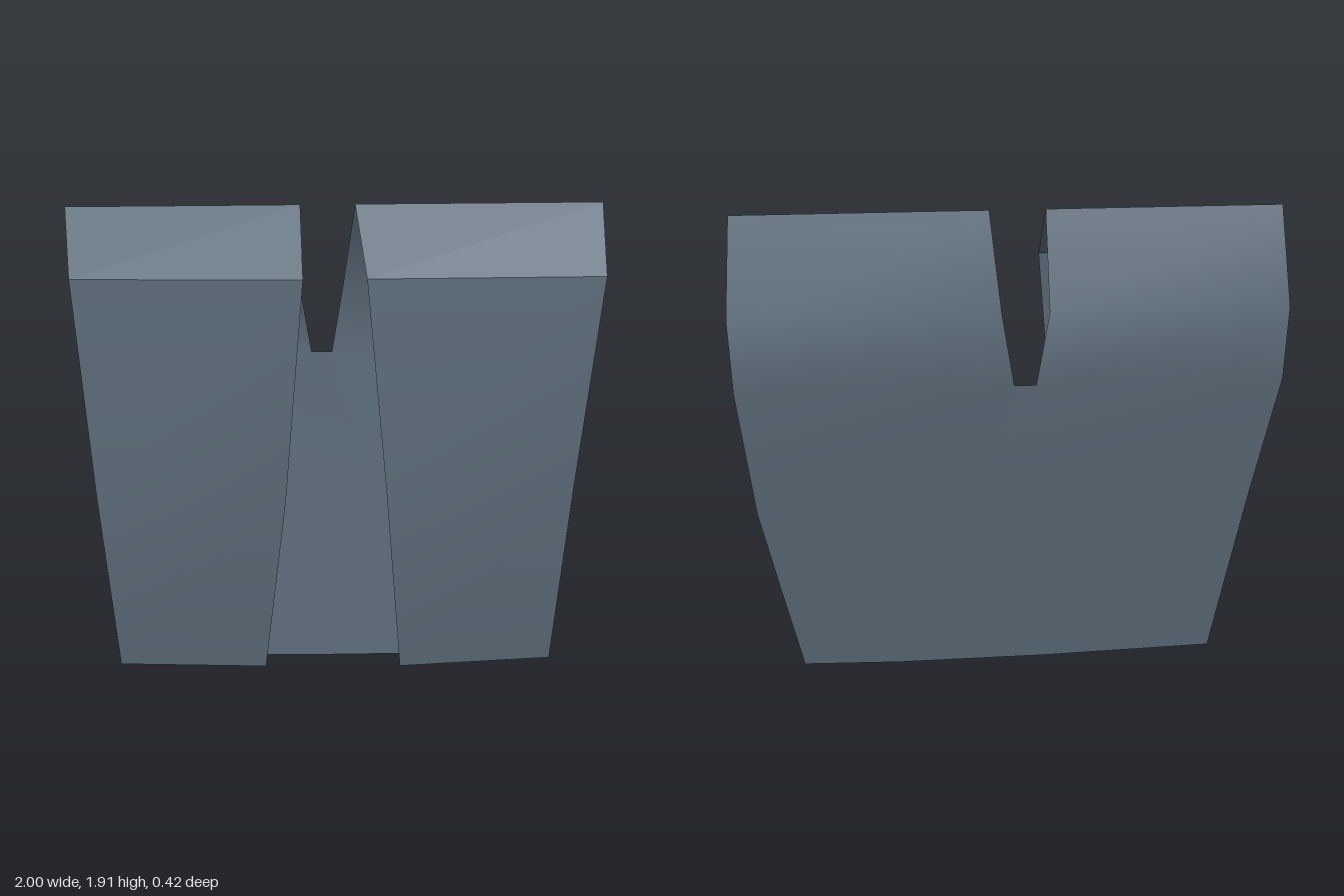
import * as THREE from 'three';

const fabric = new THREE.MeshStandardMaterial({ color: 0x647583, side: THREE.DoubleSide });
fabric.name = 'slateFabric';

// Cloth sheet from rows of [x, y, z] points; keep(row, col) decides which quads exist.
function sheet(name, rows, keep = () => true) {
  const cols = rows[0].length;
  const index = [];
  for (let r = 0; r < rows.length - 1; r++) {
    for (let c = 0; c < cols - 1; c++) {
      if (!keep(r, c)) continue;
      const a = r * cols + c, d = a + cols;
      index.push(a, a + 1, d + 1, a, d + 1, d);
    }
  }
  const geometry = new THREE.BufferGeometry();
  geometry.setAttribute('position', new THREE.Float32BufferAttribute(rows.flat(2), 3));
  geometry.setIndex(index);
  geometry.computeVertexNormals();
  const mesh = new THREE.Mesh(geometry, fabric);
  mesh.name = name;
  return mesh;
}

export function createModel() {
  const group = new THREE.Group();
  group.name = 'vest';

  // Each side runs from the front hem up to the shoulder ridge.
  const right = [
    [[-0.87, 0.11, 0.15], [-0.29, 0.085, 0.15]],
    [[-0.905, 0.86, 0.205], [-0.2, 0.84, 0.205]],
    [[-0.955, 1.7, 0.13], [-0.125, 1.69, 0.13]],
    [[-0.98, 1.915, -0.065], [-0.13, 1.915, -0.065]],
  ];
  const left = [
    [[0.25, 0.08, 0.16], [0.855, 0.105, 0.16]],
    [[0.18, 0.89, 0.21], [0.89, 0.89, 0.21]],
    [[0.105, 1.69, 0.13], [0.97, 1.69, 0.13]],
    [[0.07, 1.915, -0.065], [0.98, 1.915, -0.065]],
  ];
  for (const [side, rows] of [['right', right], ['left', left]]) {
    group.add(sheet(side + 'FrontPanel', rows.slice(0, 3)));
    group.add(sheet(side + 'ShoulderSlope', rows.slice(2)));
  }

  // Back runs from the ridge down to the hem; the neck notch is left open above y = 1.3.
  const back = [
    [...right[3], ...left[3]],
    [[-1, 1.58, -0.21], [-0.135, 1.58, -0.21], [0.035, 1.58, -0.21], [1, 1.58, -0.21]],
    [[-1, 1.3, -0.205], [-0.09, 1.3, -0.205], [-0.01, 1.3, -0.205], [1, 1.3, -0.205]],
    [[-0.93, 0.8, -0.145], [-0.12, 0.78, -0.145], [0.2, 0.78, -0.145], [0.965, 0.77, -0.14]],
    [[-0.88, 0.4, -0.1], [-0.14, 0.4, -0.1], [0.33, 0.4, -0.1], [0.905, 0.4, -0.1]],
    [[-0.835, 0.025, -0.055], [-0.15, 0.005, -0.055], [0.45, 0, -0.055], [0.84, 0.01, -0.055]],
  ];
  group.add(sheet('back', back, (r, c) => r >= 2 || c !== 1));

  return group;
}
